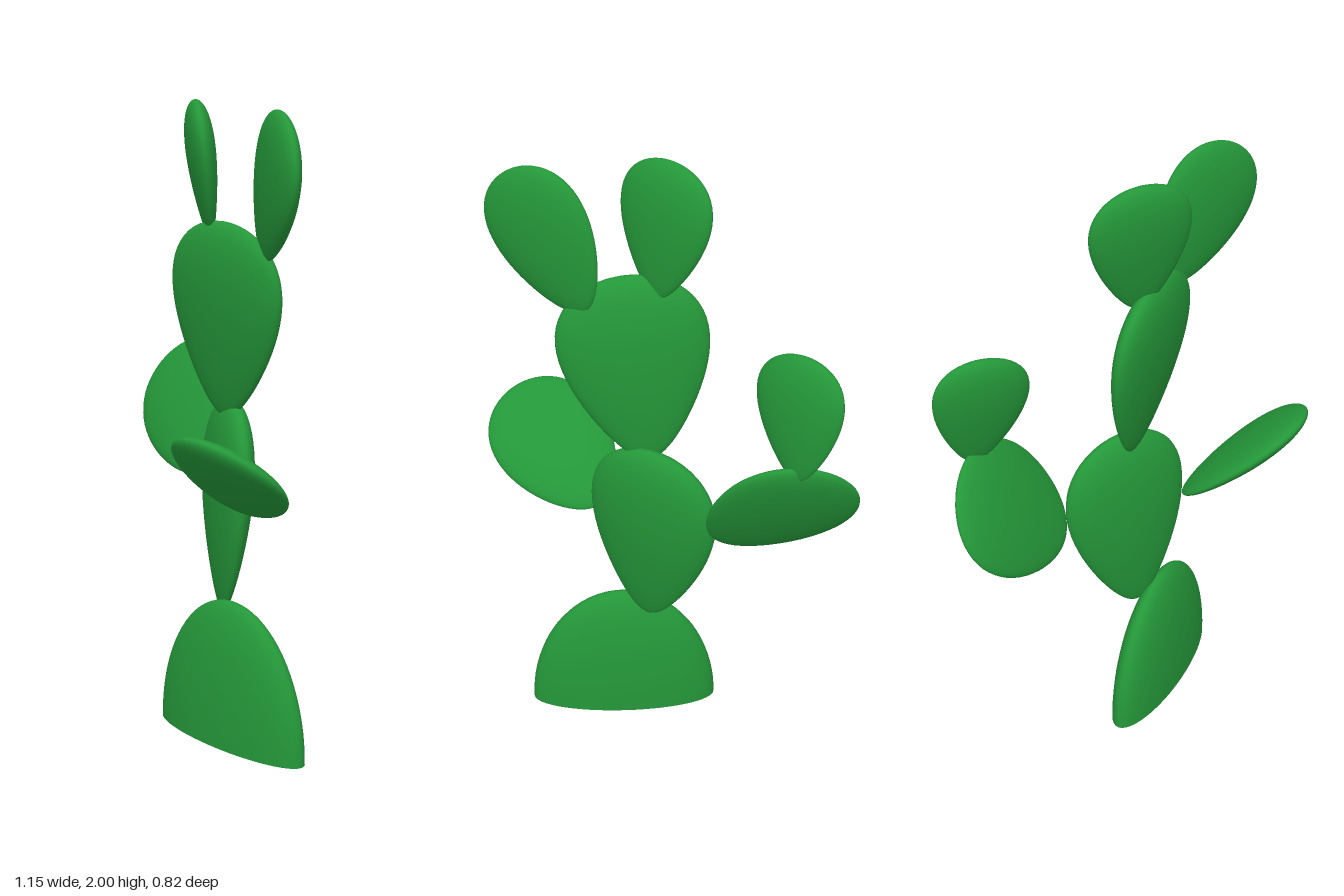
import * as THREE from 'three';

const green = new THREE.MeshStandardMaterial({ color: 0x249739 });
green.name = 'cactusGreen';

// Flat egg-shaped pad from base to tip, facing along normal, narrower at its base
function pad(name, base, tip, normal, halfWidth, halfDepth, taper = 0.4) {
  const a = new THREE.Vector3(...base);
  const b = new THREE.Vector3(...tip);
  const up = b.clone().sub(a);
  const length = up.length();
  up.normalize();
  const out = new THREE.Vector3(...normal);
  out.addScaledVector(up, -out.dot(up)).normalize();
  const side = new THREE.Vector3().crossVectors(up, out);

  const geometry = new THREE.SphereGeometry(1, 48, 32);
  const p = geometry.attributes.position;
  for (let i = 0; i < p.count; i++) {
    const y = p.getY(i);
    const f = (1 + taper * y) / (1 + 0.45 * taper * taper);
    p.setXYZ(i, p.getX(i) * f * halfWidth, y * length / 2, p.getZ(i) * f * halfDepth);
  }
  geometry.computeVertexNormals();
  geometry.applyMatrix4(new THREE.Matrix4().makeBasis(side, up, out).setPosition(a.add(b).multiplyScalar(0.5)));

  const mesh = new THREE.Mesh(geometry, green);
  mesh.name = name;
  return mesh;
}

// Half-buried bottom pad: a flattened dome closed by a flat underside
function basePad() {
  const group = new THREE.Group();
  group.name = 'basePad';
  const dome = new THREE.Mesh(new THREE.SphereGeometry(1, 48, 20, 0, Math.PI * 2, 0, Math.PI / 2), green);
  dome.name = 'baseDome';
  const underside = new THREE.Mesh(new THREE.CircleGeometry(1, 48).rotateX(Math.PI / 2), green);
  underside.name = 'baseUnderside';
  group.add(dome, underside);
  group.scale.set(0.313, 0.457, 0.09);
  group.position.set(0.142, 0, 0.02);
  return group;
}

export function createModel() {
  const model = new THREE.Group();
  model.name = 'cactus';
  model.add(
    basePad(),
    // Main stem
    pad('middlePad', [0.06, 0.4, -0.02], [0.03, 1.08, -0.08], [-0.49, 0, 0.87], 0.22, 0.065),
    pad('upperPad', [0.05, 1.03, -0.035], [0.12, 1.64, 0.025], [0, -0.1, 1], 0.233, 0.06),
    // Top ears
    pad('rightEarPad', [0.025, 1.58, 0], [-0.02, 2, 0.025], [-0.63, 0, 0.78], 0.16, 0.045),
    pad('leftEarPad', [0.24, 1.54, -0.01], [0.44, 1.95, 0.1], [-0.47, 0, 0.88], 0.173, 0.045, 0.3),
    // Side arms
    pad('rightArmPad', [-0.165, 0.8, -0.165], [-0.5, 1.15, -0.335], [0, 0.44, 0.9], 0.212, 0.042, 0.2),
    pad('rightArmTopPad', [-0.37, 1.16, -0.355], [-0.375, 1.545, -0.29], [-0.64, 0, 0.77], 0.148, 0.042),
    pad('leftArmPad', [0.2, 0.785, 0.07], [0.49, 1.045, 0.375], [0, 0.76, -0.64], 0.19, 0.045, 0.2),
  );
  return model;
}
